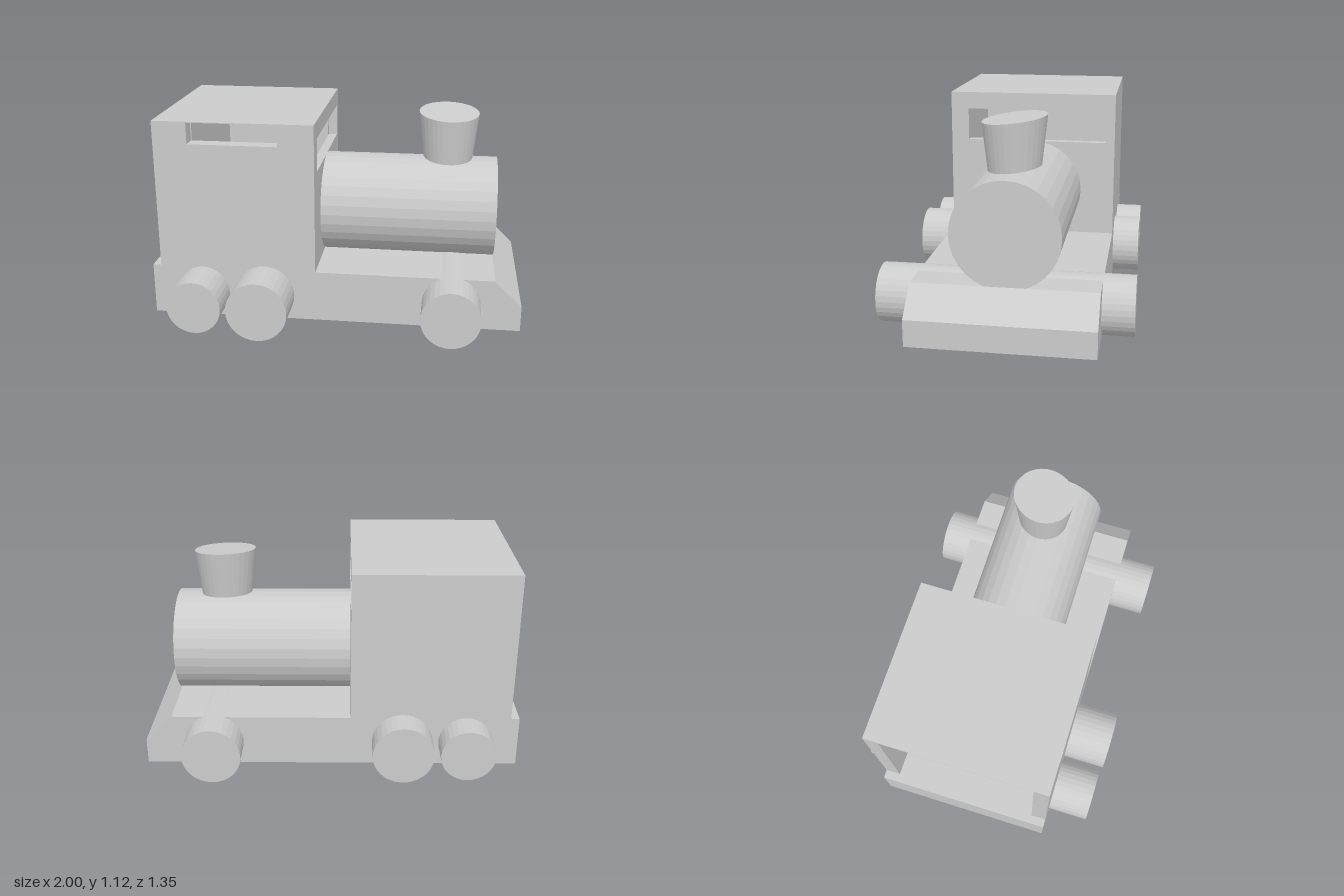
import * as THREE from 'three';

const material = new THREE.MeshStandardMaterial({ color: 0xcccccc, flatShading: true });

export function createModel() {
  const model = new THREE.Group();
  const zMid = -0.037; // centre line of the body
  const zBack = -0.51, zFront = 0.435, wall = 0.08;

  function add(name, geometry, parent = model) {
    const mesh = new THREE.Mesh(geometry, material);
    mesh.name = name;
    parent.add(mesh);
    return mesh;
  }

  // Box given by its lower and upper corners
  function box(name, x0, x1, y0, y1, z0, z1, parent) {
    const mesh = add(name, new THREE.BoxGeometry(x1 - x0, y1 - y0, z1 - z0), parent);
    mesh.position.set((x0 + x1) / 2, (y0 + y1) / 2, (z0 + z1) / 2);
    return mesh;
  }

  // Chassis with a sloped nose
  const side = new THREE.Shape([
    [-1, 0.03], [1, 0.03], [1, 0.17], [0.855, 0.31], [-1, 0.31],
  ].map(([x, y]) => new THREE.Vector2(x, y)));
  const chassis = new THREE.ExtrudeGeometry(side, { depth: zFront - zBack, bevelEnabled: false });
  add('chassis', chassis.translate(0, 0, zBack));

  // Wheel pairs, each one solid roller through the chassis: x, y, radius, z ends
  for (const [x, y, r, z0, z1] of [
    [-0.72, 0.167, 0.145, -0.66, 0.655],
    [-0.38, 0.167, 0.163, -0.66, 0.67],
    [0.63, 0.165, 0.156, -0.675, 0.64],
  ]) {
    const roller = add('wheelPair', new THREE.CylinderGeometry(r, r, z1 - z0, 32).rotateX(Math.PI / 2));
    roller.position.set(x, y, (z0 + z1) / 2);
  }

  // Boiler
  const boiler = add('boiler', new THREE.CylinderGeometry(0.278, 0.278, 0.955, 32).rotateZ(Math.PI / 2));
  boiler.position.set(0.3775, 0.567, -0.043);

  // Funnel, sheared so that its ends slope up towards -z
  const funnel = new THREE.CylinderGeometry(0.165, 0.137, 0.25, 32);
  const p = funnel.attributes.position;
  for (let i = 0; i < p.count; i++) {
    p.setY(i, p.getY(i) - 0.122 * p.getZ(i) - 0.03 * p.getX(i));
  }
  funnel.computeVertexNormals();
  add('funnel', funnel).position.set(0.582, 0.975, -0.05);

  // Cab: hollow room with a shallow bay open at the rear
  const cab = new THREE.Group();
  cab.name = 'cab';
  model.add(cab);
  const xr = -0.955, xf = -0.1, floor = 0.31, top = 1.12, roofBase = 1.115;
  box('cabRoof', xr, xf, roofBase, top, zBack, zFront, cab);
  box('cabRightWall', xr, xf - 0.05, floor, roofBase, zBack, zBack + wall, cab);
  box('cabPartition', -0.775, -0.765, floor, roofBase, zBack + wall, zFront - wall, cab);

  // Wall with a slot window under the roof
  const z0 = zFront - wall;
  box('cabLeftWall', xr, xf - 0.05, floor, 1.0, z0, zFront, cab);
  box('cabLeftWallRear', xr, -0.77, 1.0, roofBase, z0, zFront, cab);
  box('cabLeftWallFront', -0.29, xf - 0.05, 1.0, roofBase, z0, zFront, cab);

  // Front wall with a wide window above the boiler
  const front = new THREE.Shape([
    [zBack, floor], [zFront, floor], [zFront, roofBase], [zBack, roofBase],
  ].map(([z, y]) => new THREE.Vector2(-z, y)));
  front.holes.push(new THREE.Path([
    [-0.46, 0.845], [-0.46, 1.025], [0.335, 1.025], [0.335, 0.845],
  ].map(([z, y]) => new THREE.Vector2(-z, y))));
  const frontWall = new THREE.ExtrudeGeometry(front, { depth: 0.05, bevelEnabled: false });
  frontWall.rotateY(Math.PI / 2).translate(xf - 0.05, 0, 0);
  add('cabFrontWall', frontWall, cab);

  return model;
}
